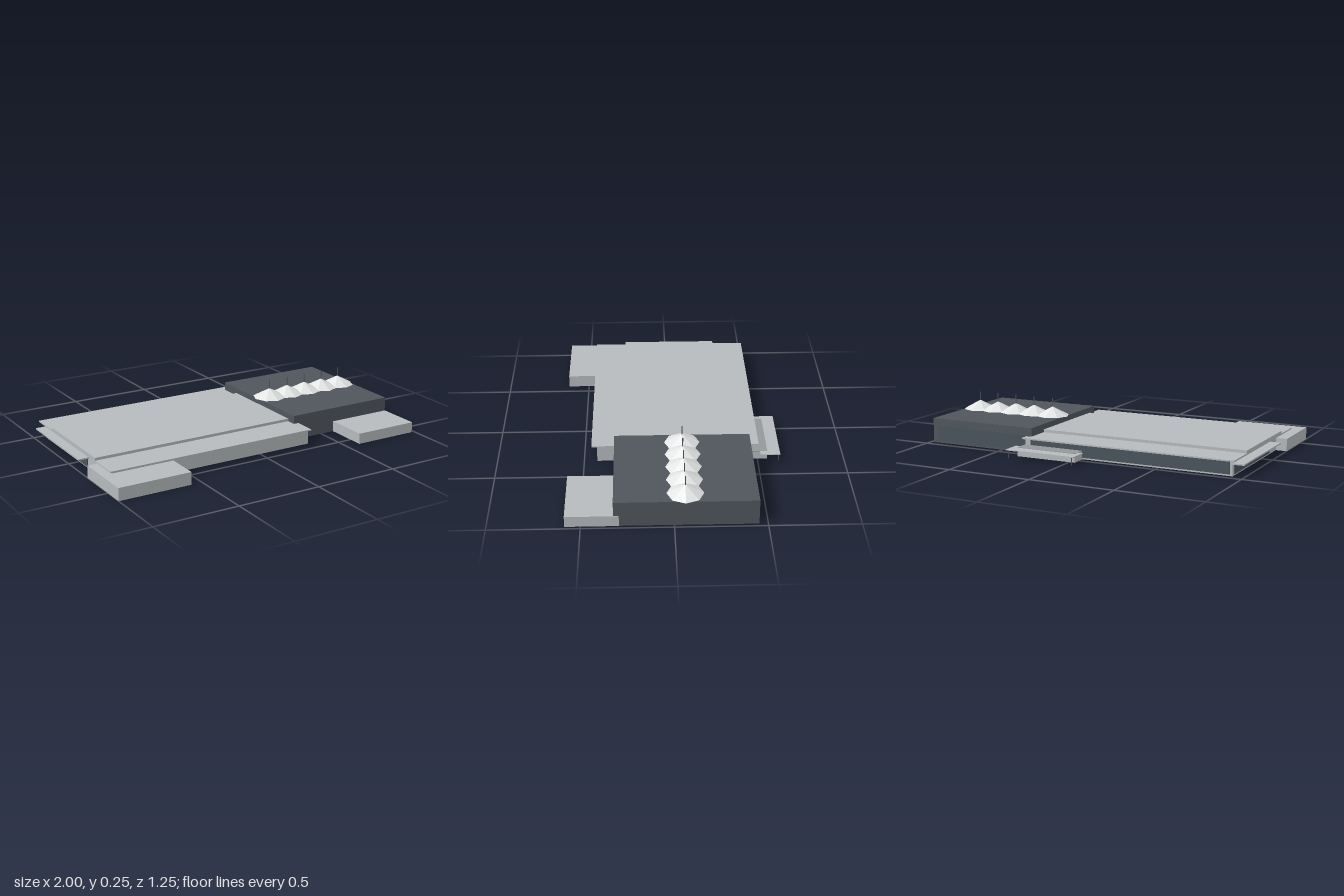
import * as THREE from 'three';

export function createModel() {
  const model = new THREE.Group();
  model.name = 'factoryBuilding';

  const mat = (name, color, extra = {}) => {
    const m = new THREE.MeshStandardMaterial({ color, ...extra });
    m.name = name;
    return m;
  };
  const lightGrey = mat('light grey', 0xb6babd);
  const slate = mat('dark slate', 0x50565d);
  const midGrey = mat('mid grey', 0x94989c);
  const glass = mat('dark glass', 0x4a545c);
  const white = mat('canopy white', 0xe2e3e3, { flatShading: true });

  // Box given by its min and max on each axis
  function box(name, material, x0, x1, y0, y1, z0, z1) {
    const mesh = new THREE.Mesh(new THREE.BoxGeometry(x1 - x0, y1 - y0, z1 - z0), material);
    mesh.position.set((x0 + x1) / 2, (y0 + y1) / 2, (z0 + z1) / 2);
    mesh.name = name;
    model.add(mesh);
    return mesh;
  }

  // Low wide building with stepped roof
  box('lowBuildingWalls', lightGrey, -0.935, 0.3, 0, 0.09, -0.46, 0.425);
  box('lowBuildingFrontCorner', lightGrey, 0.3, 0.333, 0, 0.09, 0.325, 0.425);
  box('lowBuildingBackCorner', lightGrey, 0.3, 0.333, 0, 0.09, -0.47, -0.456);
  box('roofSlab', lightGrey, -0.96, 0.333, 0.09, 0.098, -0.505, 0.457);
  box('raisedRoof', lightGrey, -0.96, 0.3, 0.098, 0.114, -0.313, 0.267);

  // Glazing under the eaves at the back and the end
  box('backGlazing', glass, -0.92, 0.3, 0.01, 0.088, -0.466, -0.459);
  box('endGlazing', glass, -0.941, -0.934, 0.01, 0.062, -0.44, 0.12);

  // Canopy along the end wall
  box('endCanopy', lightGrey, -1, -0.935, 0.064, 0.072, -0.46, 0.14);

  // Front annexes
  box('frontAnnexRight', lightGrey, -1, -0.565, 0, 0.073, 0.25, 0.625);
  box('frontAnnexLeft', lightGrey, 0.588, 0.982, 0, 0.063, 0.295, 0.585);

  // Tall dark hall
  box('tallHall', slate, 0.3, 0.98, 0, 0.147, -0.452, 0.325);
  box('hallBackPanel', glass, 0.31, 0.94, 0.012, 0.105, -0.457, -0.451);

  // Back entrance with canopy on posts
  box('entranceLobby', lightGrey, -0.035, 0.335, 0, 0.047, -0.556, -0.465);
  box('entranceCanopy', lightGrey, -0.065, 0.37, 0.045, 0.05, -0.628, -0.515);
  box('entranceRoofPanel', midGrey, -0.035, 0.335, 0.047, 0.052, -0.556, -0.47);
  for (const x of [-0.05, 0.355]) {
    box('canopyPost', slate, x - 0.002, x + 0.002, 0, 0.045, -0.622, -0.618);
  }

  // Row of pointed rooftop tents with masts
  for (let i = 0; i < 5; i++) {
    const x = 0.381 + i * 0.129;
    const tent = new THREE.Mesh(new THREE.ConeGeometry(0.101, 0.054, 8), white);
    tent.position.set(x, 0.175, -0.06);
    tent.name = 'roofTent';
    const mast = new THREE.Mesh(new THREE.CylinderGeometry(0.003, 0.003, 0.06, 6), slate);
    mast.position.set(x, 0.223, -0.06);
    mast.name = 'tentMast';
    model.add(tent, mast);
  }
  return model;
}
